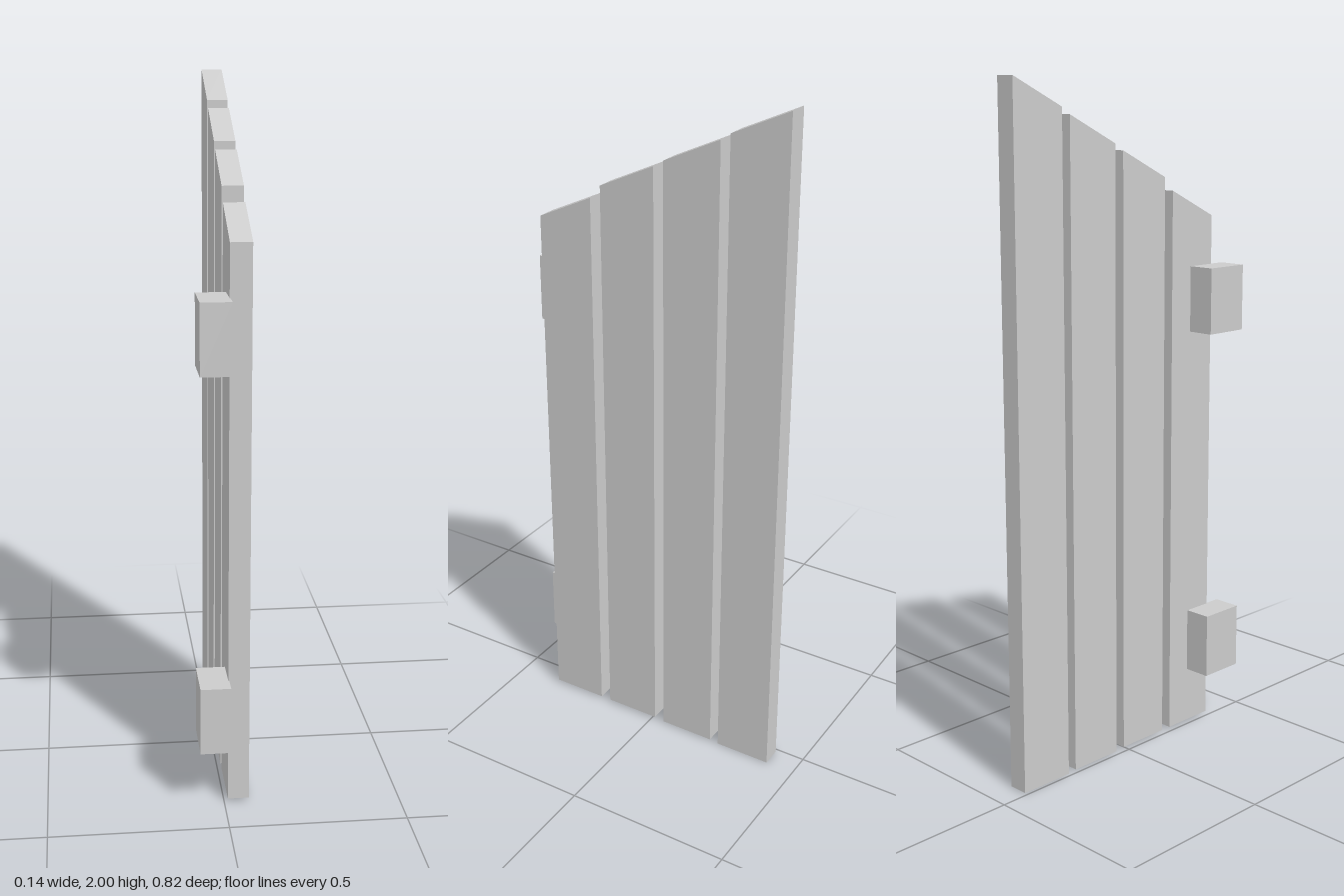
import * as THREE from 'three';

export function createModel() {
  const group = new THREE.Group();
  group.name = 'plankGate';
  const material = new THREE.MeshStandardMaterial({ color: 0xcccccc, flatShading: true });

  // Upright planks with slanted tops: [front z, back z, bottom, front top, back top]
  const planks = [
    [0.361, 0.191, 0.008, 1.6, 1.68],
    [0.158, -0.012, 0.008, 1.72, 1.8],
    [-0.043, -0.213, 0.004, 1.82, 1.9],
    [-0.241, -0.412, 0, 1.92, 2.0],
  ];
  const thickness = 0.06;
  planks.forEach(([front, back, bottom, frontTop, backTop], i) => {
    // Side outline drawn with shape x = -z, then turned to face +x
    const outline = new THREE.Shape([
      new THREE.Vector2(-front, bottom),
      new THREE.Vector2(-back, bottom),
      new THREE.Vector2(-back, backTop),
      new THREE.Vector2(-front, frontTop),
    ]);
    const geometry = new THREE.ExtrudeGeometry(outline, { depth: thickness, bevelEnabled: false });
    geometry.rotateY(Math.PI / 2);
    geometry.translate(0.011, 0, 0);
    const plank = new THREE.Mesh(geometry, material);
    plank.name = `plank${i + 1}`;
    group.add(plank);
  });

  // Hinge blocks on the front plank
  [['lowerHingeBlock', 0.278], ['upperHingeBlock', 1.357]].forEach(([name, y]) => {
    const block = new THREE.Mesh(new THREE.BoxGeometry(0.085, 0.196, 0.141), material);
    block.name = name;
    block.position.set(-0.029, y, 0.341);
    group.add(block);
  });

  return group;
}
